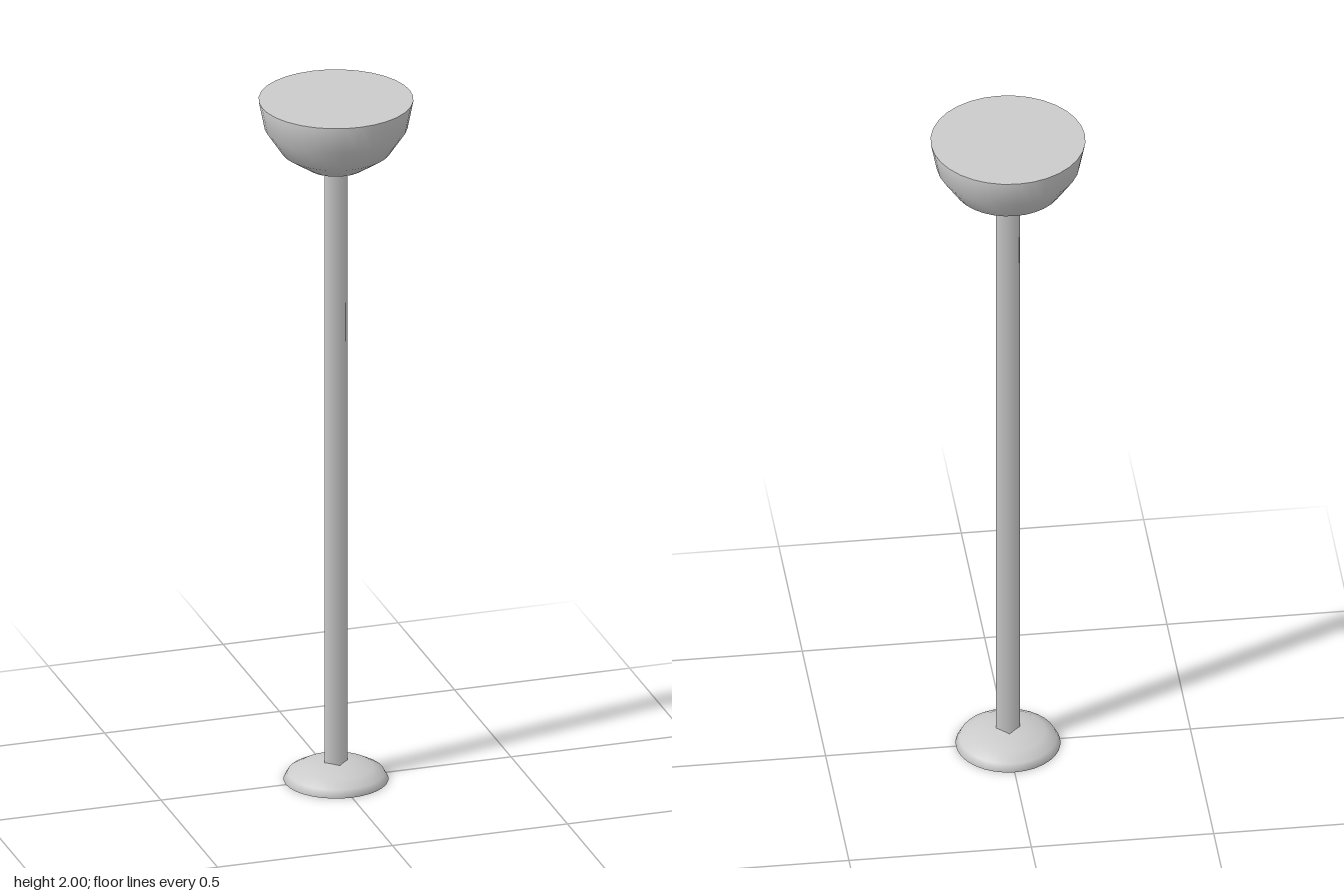
import * as THREE from 'three';

const SIDES = 32;
const material = new THREE.MeshStandardMaterial({ color: 0xcccccc });

function addMesh(parent, geometry, name) {
  const mesh = new THREE.Mesh(geometry, material);
  mesh.name = name;
  parent.add(mesh);
  return mesh;
}

// Upright dome closed by a flat disc; four rings from rim to pole
function createDome(name, radius, height) {
  const dome = new THREE.Group();
  dome.name = name;
  const shell = new THREE.SphereGeometry(radius, SIDES, 4, 0, Math.PI * 2, 0, Math.PI / 2);
  shell.scale(1, height / radius, 1);
  addMesh(dome, shell, name + 'Shell');
  addMesh(dome, new THREE.CircleGeometry(radius, SIDES).rotateX(Math.PI / 2), name + 'Disc');
  return dome;
}

export function createModel() {
  const lamp = new THREE.Group();
  lamp.name = 'floorLamp';

  // Low domed foot
  lamp.add(createDome('base', 0.143, 0.053));

  // Slim four-sided pole, softly shaded, corners on the axes
  const pole = addMesh(lamp, new THREE.CylinderGeometry(0.033, 0.033, 1.78, 4), 'pole');
  pole.position.y = 0.92;

  // Hemispherical shade, flat side up
  const shade = createDome('shade', 0.211, 0.211);
  shade.rotation.x = Math.PI;
  shade.position.y = 2;
  lamp.add(shade);

  return lamp;
}
